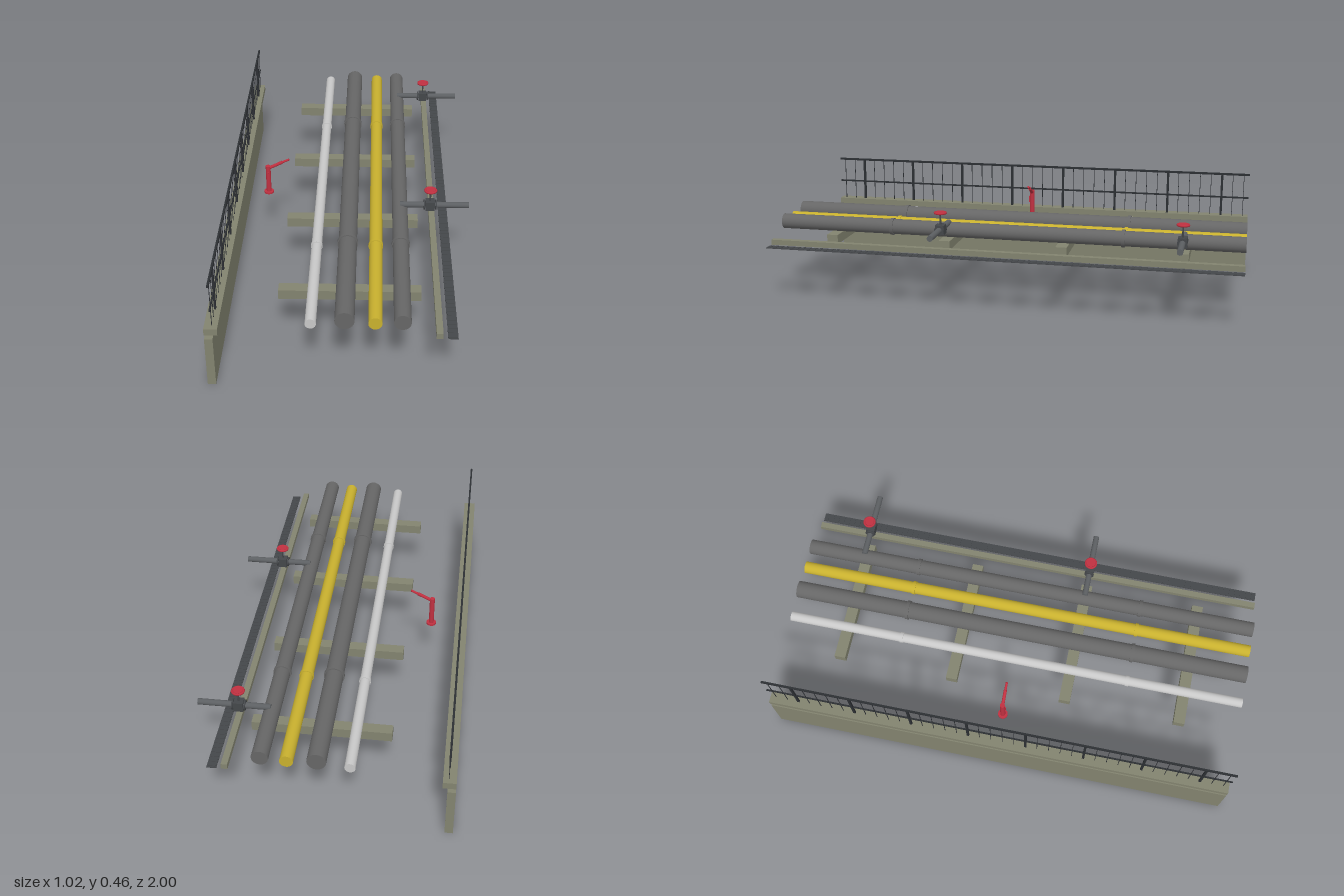
import * as THREE from 'three';

const mat = (name, color) => {
  const m = new THREE.MeshStandardMaterial({ color });
  m.name = name;
  return m;
};

export function createModel() {
  const root = new THREE.Group();
  root.name = 'pipeRack';
  const concrete = mat('concrete', 0x82836f);
  const darkPipe = mat('darkPipe', 0x666666);
  const lightPipe = mat('lightPipe', 0xc8c8c8);
  const yellow = mat('yellowPaint', 0xc8b02e);
  const steel = mat('branchSteel', 0x5c5f62);
  const valveMetal = mat('valveMetal', 0x44474a);
  const black = mat('railPaint', 0x2c2f33);
  const red = mat('redPaint', 0xc03040);

  const group = (name, parent = root) => {
    const g = new THREE.Group();
    g.name = name;
    parent.add(g);
    return g;
  };
  const add = (parent, name, geo, m, x, y, z) => {
    const mesh = new THREE.Mesh(geo, m);
    mesh.name = name;
    mesh.position.set(x, y, z);
    parent.add(mesh);
    return mesh;
  };
  // box given by its x, y and z ranges
  const box = (parent, name, m, x0, x1, y0, y1, z0, z1) =>
    add(parent, name, new THREE.BoxGeometry(x1 - x0, y1 - y0, z1 - z0), m,
      (x0 + x1) / 2, (y0 + y1) / 2, (z0 + z1) / 2);
  // cylinder between two points
  const rod = (parent, name, m, a, b, r, sides = 20) => {
    const p = new THREE.Vector3(...a), q = new THREE.Vector3(...b);
    const d = q.clone().sub(p), c = p.clone().add(q).multiplyScalar(0.5);
    const mesh = add(parent, name, new THREE.CylinderGeometry(r, r, d.length(), sides), m, c.x, c.y, c.z);
    mesh.quaternion.setFromUnitVectors(new THREE.Vector3(0, 1, 0), d.normalize());
    return mesh;
  };

  // Retaining wall and coping
  box(root, 'wall', concrete, -0.51, -0.478, 0, 0.217, -1, 1);
  box(root, 'coping', concrete, -0.51, -0.459, 0.236, 0.264, -1, 1);

  // Railing: two rails, eight posts, thin bars between the posts
  const railing = group('railing');
  const rx = -0.481;
  box(railing, 'topRail', black, rx - 0.004, rx + 0.004, 0.454, 0.463, -1, 1);
  box(railing, 'midRail', black, rx - 0.003, rx + 0.003, 0.346, 0.353, -1, 1);
  for (let i = 0; i < 8; i++) {
    const z = -0.875 + i * 0.25;
    box(railing, 'post', black, rx - 0.004, rx + 0.004, 0.262, 0.46, z - 0.005, z + 0.005);
  }
  for (let i = 0; i < 40; i++) {
    const z = -0.975 + i * 0.05;
    if (i % 5 !== 2) box(railing, 'bar', black, rx - 0.0012, rx + 0.0012, 0.262, 0.456, z - 0.0012, z + 0.0012);
  }

  // Sleepers under the pipes
  for (const z of [-0.75, -0.25, 0.25, 0.75])
    box(root, 'sleeper', concrete, -0.252, 0.298, 0.236, 0.276, z - 0.024, z + 0.024);

  // Long pipes resting on the sleepers, with two joint collars each
  const pipes = [
    ['lightPipe', lightPipe, -0.116, 0.021],
    ['largePipe', darkPipe, 0.009, 0.037],
    ['yellowPipe', yellow, 0.122, 0.026],
    ['mainPipe', darkPipe, 0.222, 0.0325],
  ];
  for (const [name, m, x, r] of pipes) {
    const y = 0.276 + r, g = group(name);
    rod(g, 'tube', m, [x, y, -1], [x, y, 1], r, 28);
    for (const z of [-0.5, 0.5])
      rod(g, 'collar', m, [x, y, z - 0.007], [x, y, z + 0.007], r * 1.13, 28);
  }

  // Branch pipes with hand-wheel valves
  for (const z of [-0.75, 0.25]) {
    const g = group('valveBranch'), y = 0.34, x = 0.348;
    rod(g, 'branchPipe', steel, [0.222, y, z], [0.51, y, z], 0.0125);
    box(g, 'valveBody', valveMetal, x - 0.019, x + 0.019, y - 0.02, y + 0.02, z - 0.019, z + 0.019);
    for (const s of [-1, 1])
      rod(g, 'flange', valveMetal, [x + s * 0.021, y, z], [x + s * 0.027, y, z], 0.021);
    rod(g, 'stem', valveMetal, [x, y, z], [x, 0.412, z], 0.0035, 10);
    rod(g, 'wheelDisc', red, [x, 0.407, z], [x, 0.413, z], 0.024);
    const rim = add(g, 'wheelRim', new THREE.TorusGeometry(0.0225, 0.005, 8, 24), red, x, 0.41, z);
    rim.rotation.x = Math.PI / 2;
  }

  // Fire monitor: foot plate, column, tilted barrel and nozzle
  const monitor = group('fireMonitor');
  const mx = -0.353;
  rod(monitor, 'footPlate', red, [mx, 0.236, 0], [mx, 0.244, 0], 0.021);
  rod(monitor, 'column', red, [mx, 0.24, 0], [mx, 0.37, 0], 0.0108);
  rod(monitor, 'barrel', red, [mx, 0.358, 0], [-0.29, 0.39, 0], 0.007);
  rod(monitor, 'nozzle', red, [-0.292, 0.389, 0], [-0.26, 0.404, 0], 0.005);
  box(monitor, 'lever', red, mx - 0.003, mx + 0.003, 0.312, 0.342, 0, 0.014);

  // Kerb and drain grating
  box(root, 'kerb', concrete, 0.347, 0.372, 0.237, 0.26, -1, 1);
  const drain = group('drainGrating');
  box(drain, 'plate', valveMetal, 0.39, 0.428, 0.236, 0.239, -1, 1);
  for (let i = 0; i < 80; i++) {
    const z = -0.9875 + i * 0.025;
    box(drain, 'gratingBar', valveMetal, 0.393, 0.425, 0.238, 0.241, z - 0.006, z + 0.006);
  }
  return root;
}
